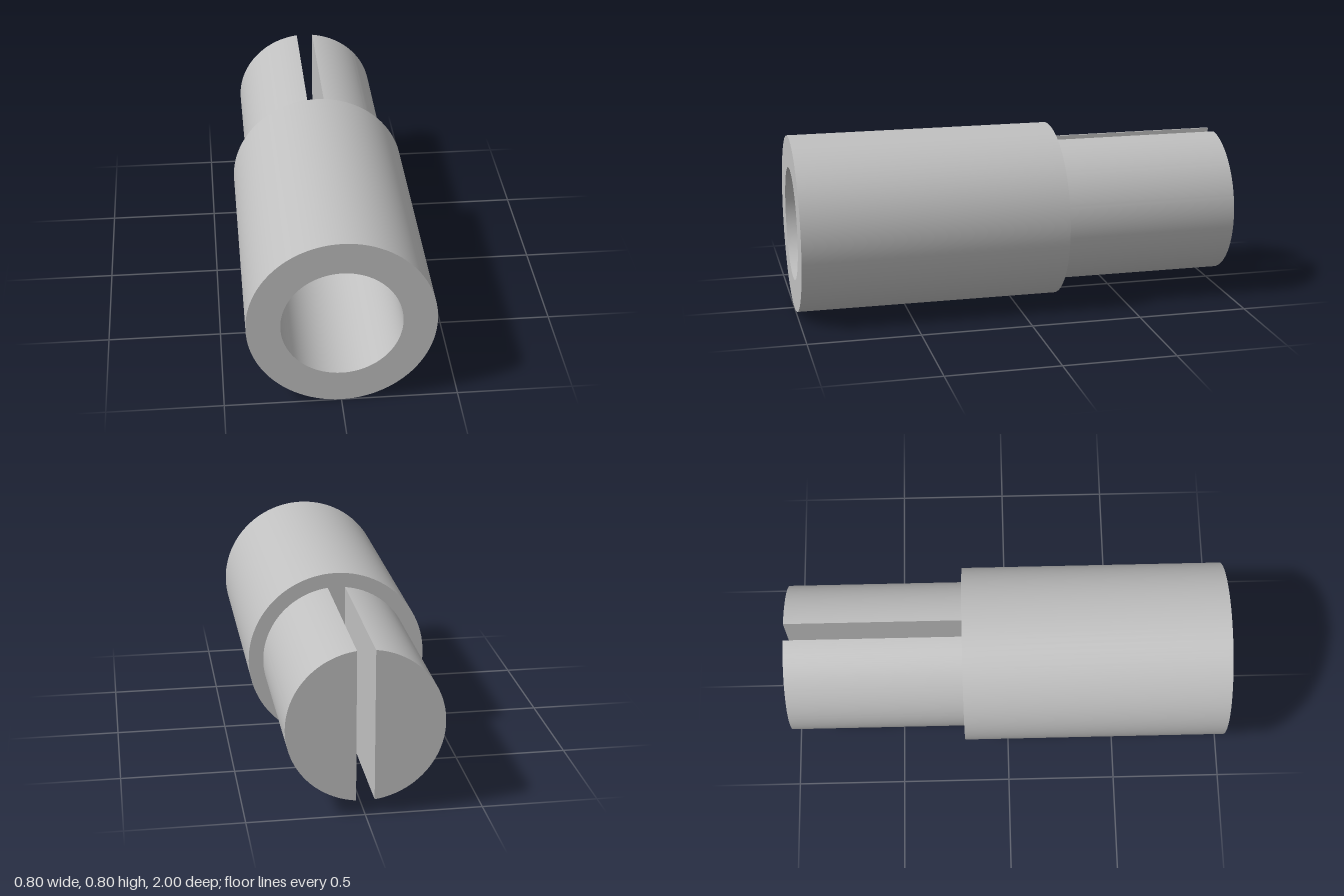
import * as THREE from 'three';
import { toCreasedNormals } from 'three/addons/utils/BufferGeometryUtils.js';

export function createModel() {
  const model = new THREE.Group();
  model.name = 'slottedShaft';

  const steel = new THREE.MeshStandardMaterial({ color: 0xc0c0c0 });
  steel.name = 'plain grey';

  const axisHeight = 0.4;
  const crease = Math.PI / 6;

  function addPart(name, geometry) {
    const mesh = new THREE.Mesh(toCreasedNormals(geometry, crease), steel);
    mesh.name = name;
    mesh.position.y = axisHeight;
    model.add(mesh);
  }

  // Sleeve: thick cylinder with a blind bore opening at the front
  const bodyRadius = 0.4, boreRadius = 0.256, shoulderZ = -0.2, boreEndZ = 0;
  const profile = [
    [0, shoulderZ], [bodyRadius, shoulderZ], [bodyRadius, 1],
    [boreRadius, 1], [boreRadius, boreEndZ], [0, boreEndZ],
  ].map(([r, z]) => new THREE.Vector2(r, z));
  addPart('boredSleeve', new THREE.LatheGeometry(profile, 96).rotateX(Math.PI / 2));

  // Shank: two circular segments separated by an open slot
  const shankRadius = 0.334, slotHalfWidth = 0.039, embed = 0.02;
  const halfAngle = Math.acos(slotHalfWidth / shankRadius);
  for (const [name, middle] of [['leftProng', 0], ['rightProng', Math.PI]]) {
    const segment = new THREE.Shape();
    segment.absarc(0, 0, shankRadius, middle - halfAngle, middle + halfAngle, false);
    segment.closePath();
    const prong = new THREE.ExtrudeGeometry(segment, {
      depth: shoulderZ + 1 + embed, bevelEnabled: false, curveSegments: 48,
    });
    addPart(name, prong.translate(0, 0, -1));
  }

  return model;
}
